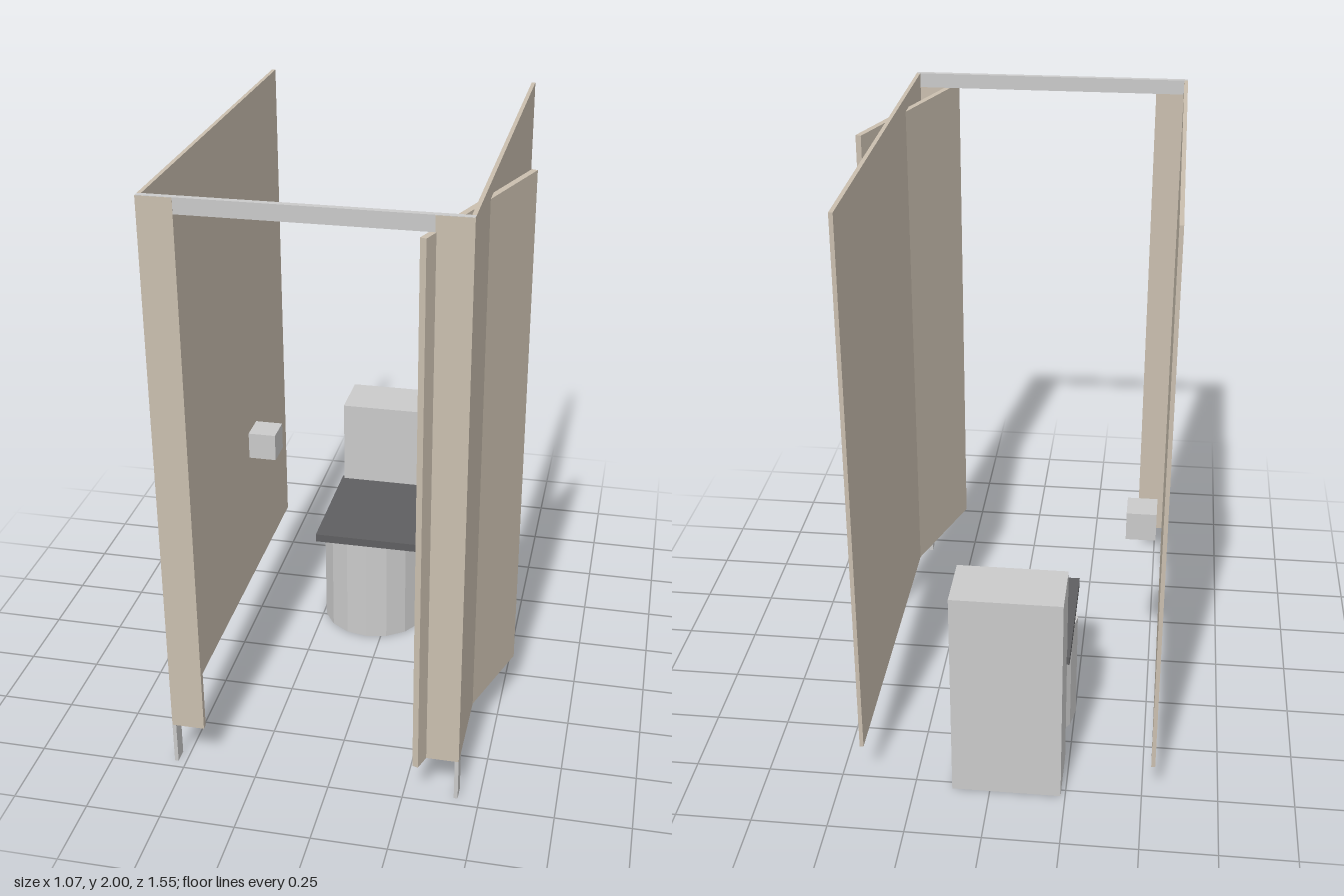
import * as THREE from 'three';

export function createModel() {
  const group = new THREE.Group();
  const mat = (name, color) => {
    const m = new THREE.MeshStandardMaterial({ color });
    m.name = name;
    return m;
  };
  const tan = mat('tan panel', 0xcabfaf);
  const grey = mat('light grey', 0xcacaca);
  const dark = mat('dark grey', 0x5f5f61);

  const add = (name, geometry, material, x, y, z) => {
    const mesh = new THREE.Mesh(geometry, material);
    mesh.name = name;
    mesh.position.set(x, y, z);
    group.add(mesh);
    return mesh;
  };
  // Box given by its extents on each axis
  const box = (name, material, [x0, x1], [y0, y1], [z0, z1]) =>
    add(name, new THREE.BoxGeometry(x1 - x0, y1 - y0, z1 - z0), material,
      (x0 + x1) / 2, (y0 + y1) / 2, (z0 + z1) / 2);

  // Cubicle sides: wall, front post panel and foot, mirrored about the stall axis
  const axis = -0.055, half = 0.485;
  for (const [side, s] of [['right', -1], ['left', 1]]) {
    const span = (width) => {
      const outer = axis + s * half, inner = axis + s * (half - width);
      return [Math.min(outer, inner), Math.max(outer, inner)];
    };
    box(side + 'Wall', tan, span(0.013), [0.15, 2], [-0.78, 0.7]);
    box(side + 'FrontPanel', tan, span(0.11), [0.15, 1.999], [0.7, 0.72]);
    box(side + 'Foot', grey, span(0.013), [0, 0.15], [0.67, 0.72]);
  }

  // Rail above the doorway
  box('headRail', grey, [-0.539, 0.429], [1.95, 2], [0.699, 0.719]);

  // Door, standing ajar
  const door = add('door', new THREE.BoxGeometry(0.02, 1.8, 0.715), tan, 0.41, 1.05, 0.432);
  door.rotation.y = -0.326;

  // Toilet
  const bowlMaterial = mat('bowl grey', 0xcacaca);
  const bowl = new THREE.CylinderGeometry(0.198, 0.198, 0.4, 16).toNonIndexed();
  bowl.computeVertexNormals();
  add('bowl', bowl, bowlMaterial, axis, 0.2, -0.33);
  box('seat', dark, [-0.245, 0.135], [0.4, 0.43], [-0.6, -0.13]);
  box('tank', grey, [-0.235, 0.125], [0, 0.75], [-0.78, -0.58]);

  // Paper holder
  box('paperHolder', grey, [-0.505, -0.405], [0.7, 0.8], [-0.285, -0.18]);

  return group;
}
